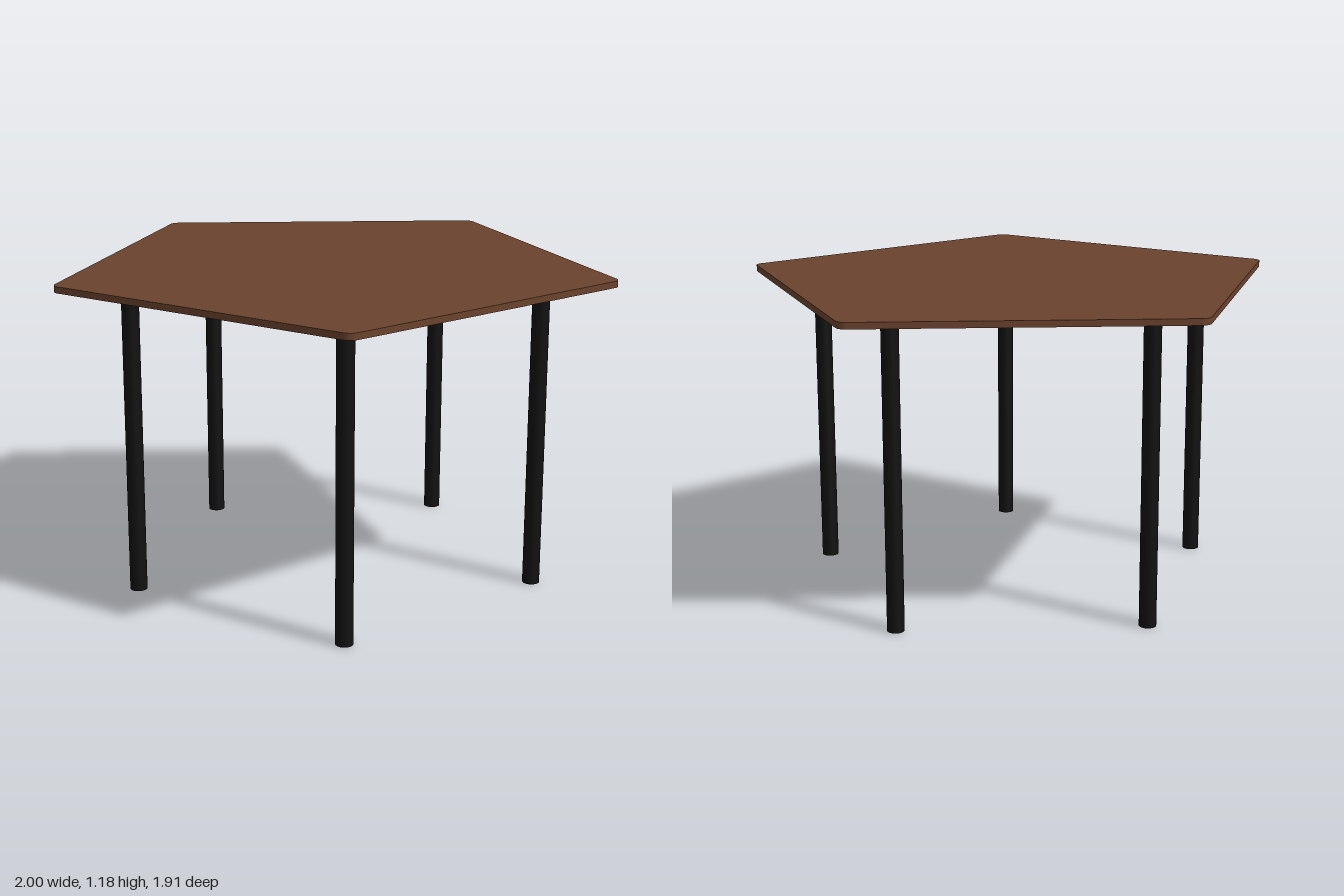
import * as THREE from 'three';

const CENTER_Z = 0.096; // pentagon centre, offset so the bounds are centred
const TOP_Y = 1.182, THICK = 0.024;
const CORNER_RING = 1.0094, CORNER_R = 0.04;
const LEG_RING = 0.778, LEG_R = 0.032;

// Angle of corner i; corner 0 points to the back (-z)
const cornerAngle = (i) => Math.PI / 2 + (i * Math.PI * 2) / 5;

// Pentagon with rounded corners; shape y becomes -z
function roundedPentagon() {
  const shape = new THREE.Shape();
  for (let i = 0; i < 5; i++) {
    const a = cornerAngle(i);
    shape.absarc(Math.cos(a) * CORNER_RING, Math.sin(a) * CORNER_RING,
      CORNER_R, a - Math.PI / 5, a + Math.PI / 5, false);
  }
  shape.closePath();
  return shape;
}

export function createModel() {
  const wood = new THREE.MeshStandardMaterial({ color: 0x6a422d });
  wood.name = 'brown wood';
  const metal = new THREE.MeshStandardMaterial({ color: 0x111111 });
  metal.name = 'black metal';

  const table = new THREE.Group();
  table.name = 'pentagonTable';

  // Table top
  const topGeometry = new THREE.ExtrudeGeometry(roundedPentagon(), {
    depth: THICK, bevelEnabled: false, curveSegments: 8,
  });
  topGeometry.rotateX(-Math.PI / 2);
  const top = new THREE.Mesh(topGeometry, wood);
  top.name = 'tableTop';
  top.position.set(0, TOP_Y - THICK, CENTER_Z);
  table.add(top);

  // One round leg near each corner
  const legHeight = TOP_Y - THICK;
  const legGeometry = new THREE.CylinderGeometry(LEG_R, LEG_R, legHeight, 24);
  for (let i = 0; i < 5; i++) {
    const a = cornerAngle(i);
    const leg = new THREE.Mesh(legGeometry, metal);
    leg.name = `leg${i + 1}`;
    leg.position.set(Math.cos(a) * LEG_RING, legHeight / 2, CENTER_Z - Math.sin(a) * LEG_RING);
    table.add(leg);
  }
  return table;
}
